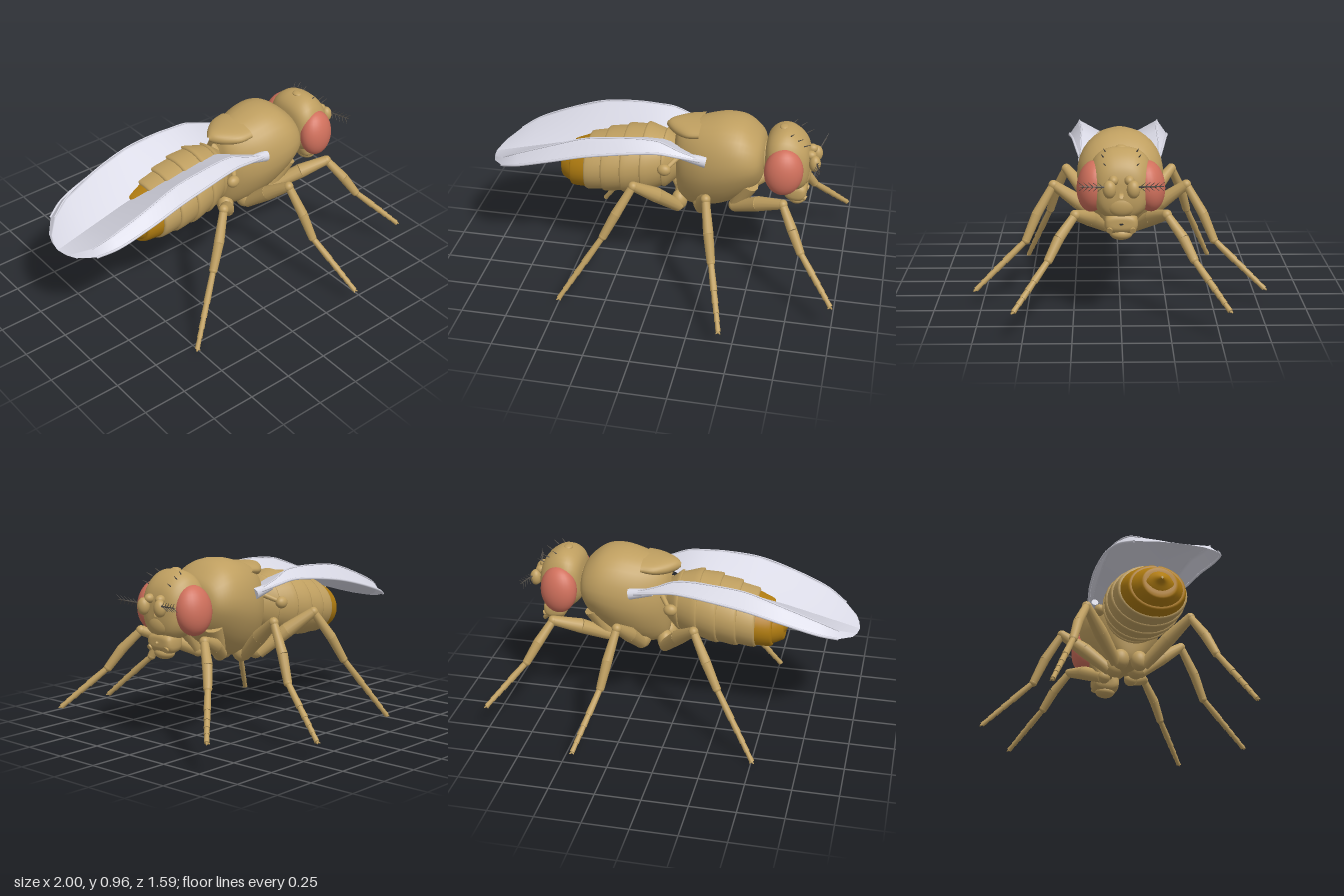
import * as THREE from 'three';

const mat = (color, side = THREE.FrontSide) => new THREE.MeshStandardMaterial({ color, side });
const TAN = mat(0xbf9f60), GOLD = mat(0xb07c10), EYE = mat(0xd0705c), DARK = mat(0x55504a);
const WING = mat(0xd8d8e4, THREE.DoubleSide);
const V = (x, y, z) => new THREE.Vector3(x, y, z);

function add(parent, name, geometry, material) {
  const mesh = new THREE.Mesh(geometry, material);
  mesh.name = name;
  parent.add(mesh);
  return mesh;
}

// Grid of points (rows x cols) to a smooth surface; closed wraps the columns
function surface(rows, closed) {
  const n = rows[0].length, index = [];
  for (let i = 0; i < rows.length - 1; i++) {
    for (let j = 0; j < (closed ? n : n - 1); j++) {
      const a = i * n + j, b = i * n + (j + 1) % n;
      index.push(a, b, a + n, b, b + n, a + n);
    }
  }
  const g = new THREE.BufferGeometry();
  g.setAttribute('position', new THREE.Float32BufferAttribute(rows.flat(2), 3));
  g.setIndex(index);
  g.computeVertexNormals();
  return g;
}

// Body loft along +x; stations are [x, bottom, top, halfWidth]; taper narrows the underside
function loft(stations, { steps = 4, power = 1, taper = 0 } = {}, sides = 32) {
  const curve = f => new THREE.CatmullRomCurve3(stations.map(f), false, 'catmullrom');
  const heights = curve(s => V(s[0], s[1], s[2])), widths = curve(s => V(s[0], s[3], 0));
  const count = (stations.length - 1) * steps, rows = [];
  const bend = v => Math.sign(v) * Math.abs(v) ** power;
  for (let i = 0; i <= count; i++) {
    const h = heights.getPoint(i / count), w = widths.getPoint(i / count).y;
    rows.push(Array.from({ length: sides }, (_, j) => {
      const a = j / sides * Math.PI * 2, up = bend(Math.cos(a));
      const narrow = 1 - taper * Math.max(0, -up);
      return [h.x, (h.y + h.z) / 2 + (h.z - h.y) / 2 * up, w * bend(Math.sin(a)) * narrow];
    }));
  }
  return surface(rows, true);
}

function ellipsoid(parent, name, pos, radii, material = TAN) {
  const m = add(parent, name, new THREE.SphereGeometry(1, 28, 18), material);
  m.position.set(...pos);
  m.scale.set(...radii);
  return m;
}

// Tapered limb piece between two points
function limb(parent, name, a, b, r0, r1, material = TAN, sides = 12) {
  const d = b.clone().sub(a);
  const m = add(parent, name, new THREE.CylinderGeometry(r1, r0, d.length(), sides), material);
  m.position.copy(a).addScaledVector(d, 0.5);
  m.quaternion.setFromUnitVectors(V(0, 1, 0), d.normalize());
  return m;
}

function makeLeg(name, points, s) {
  const leg = new THREE.Group();
  leg.name = name;
  const [hip, knee, ankle, toe] = points.map(p => V(p[0], p[1], p[2] * s));
  // Thick femur, swelling and bowed at the middle
  const mid = hip.clone().lerp(knee, 0.5).add(V(0, 0.012, 0.006 * s));
  limb(leg, 'femurBase', hip, mid, 0.034, 0.042);
  limb(leg, 'femurEnd', mid, knee, 0.042, 0.027);
  ellipsoid(leg, 'knee', knee.toArray(), [0.027, 0.027, 0.027]);
  // Shin, slightly bowed outward
  const shin = knee.clone().lerp(ankle, 0.55).add(V(0, 0.008, 0.008 * s));
  limb(leg, 'tibiaTop', knee, shin, 0.022, 0.028);
  limb(leg, 'tibiaEnd', shin, ankle, 0.028, 0.023);
  ellipsoid(leg, 'ankle', ankle.toArray(), [0.023, 0.023, 0.023]);
  // Five jointed foot segments, the first one long
  const cuts = [0, 0.42, 0.6, 0.74, 0.86, 1];
  for (let i = 0; i < 5; i++) {
    const r = 0.019 - i * 0.0012;
    limb(leg, 'tarsus' + (i + 1), ankle.clone().lerp(toe, cuts[i]), ankle.clone().lerp(toe, cuts[i + 1]), r * 0.85, r);
  }
  for (const k of [-1, 1]) {
    limb(leg, 'claw', toe, toe.clone().add(V(0.012 * k, -0.006, 0.012 * s)), 0.008, 0.003, TAN, 5);
  }
  return leg;
}

function makeWing(s) {
  const wing = new THREE.Group();
  wing.name = 'wing';
  // Stations: x, inner z, outer z, inner y, outer y before folding
  const st = [[0.22, 0.16, 0.22, 0.785, 0.8], [0.1, 0.11, 0.24, 0.8, 0.85], [0, 0.03, 0.255, 0.805, 0.9],
    [-0.1, 0, 0.265, 0.795, 0.912], [-0.2, 0, 0.275, 0.78, 0.915], [-0.4, 0, 0.285, 0.742, 0.9],
    [-0.6, 0, 0.29, 0.7, 0.83], [-0.8, 0, 0.268, 0.65, 0.742], [-0.9, 0, 0.22, 0.625, 0.675],
    [-0.97, 0, 0.13, 0.607, 0.625], [-0.99, 0, 0.07, 0.602, 0.607], [-1, 0, 0.005, 0.6, 0.6]];
  // The outer band folds down beyond the crest
  const crest = 0.8;
  const at = ([x, z0, z1, y0, y1], t) => {
    const drop = Math.max(0, t - crest) / (1 - crest) * 0.72;
    return [x, y0 + (y1 - y0) * (t - drop), s * (z0 + (z1 - z0) * t)];
  };
  const cols = Array.from({ length: 26 }, (_, j) => j / 25);
  add(wing, 'membrane', surface(st.map(r => cols.map(t => at(r, t))), false), WING);
  // Front edge vein and crest vein
  for (const [t, r] of [[1, 0.007], [crest, 0.004]]) {
    const path = new THREE.CatmullRomCurve3(st.slice(0, 9).map(row => V(...at(row, t))));
    add(wing, 'vein', new THREE.TubeGeometry(path, 50, r, 6), WING);
  }
  limb(wing, 'wingRoot', V(0.25, 0.775, 0.195 * s), V(0.12, 0.8, 0.2 * s), 0.032, 0.02, WING);
  return wing;
}

export function createModel() {
  const fly = new THREE.Group();
  fly.name = 'fly';

  // Thorax, rear shield and neck
  add(fly, 'thorax', loft([[0.05, 0.58, 0.83, 0.05], [0.075, 0.45, 0.88, 0.11], [0.13, 0.41, 0.915, 0.16],
    [0.22, 0.41, 0.945, 0.205], [0.33, 0.44, 0.967, 0.228], [0.43, 0.5, 0.953, 0.225],
    [0.51, 0.57, 0.895, 0.19], [0.545, 0.64, 0.84, 0.13], [0.555, 0.72, 0.76, 0.01]],
  { power: 0.88, taper: 0.28 }), TAN);
  add(fly, 'scutellum', loft([[0, 0.875, 0.895, 0.008], [0.025, 0.855, 0.915, 0.045], [0.07, 0.84, 0.925, 0.09],
    [0.13, 0.84, 0.93, 0.13], [0.2, 0.85, 0.935, 0.14]]), TAN);
  limb(fly, 'neck', V(0.5, 0.74, 0), V(0.6, 0.75, 0), 0.09, 0.08);

  // Overlapping abdomen rings: x, bottom, top, half width
  const rings = [[0.07, 0.56, 0.79, 0.1], [0, 0.51, 0.835, 0.16], [-0.11, 0.475, 0.852, 0.2],
    [-0.22, 0.46, 0.832, 0.21], [-0.33, 0.455, 0.802, 0.205], [-0.43, 0.455, 0.767, 0.19],
    [-0.52, 0.465, 0.722, 0.155], [-0.58, 0.5, 0.68, 0.1]];
  for (let i = 0; i < rings.length - 1; i++) {
    const [x0, b0, t0, w0] = rings[i], [x1, b1, t1, w1] = rings[i + 1], e = 0.006;
    add(fly, 'abdomenRing' + (i + 1), loft([[x1 - 0.012, b1 + 0.05, t1 - 0.05, w1 * 0.75],
      [x1 - 0.012, b1 + e, t1 - e, w1 - e], [x1, b1 - e, t1 + e, w1 + e],
      [(x0 + x1) / 2, (b0 + b1) / 2, (t0 + t1) / 2, (w0 + w1) / 2 + 0.003], [x0, b0 + e, t0 - e, w0 - e]],
    { steps: 2 }), i > 4 ? GOLD : TAN);
  }
  add(fly, 'abdomenTip', loft([[-0.635, 0.592, 0.606, 0.006], [-0.61, 0.57, 0.635, 0.04],
    [-0.585, 0.53, 0.66, 0.075], [-0.55, 0.5, 0.68, 0.1]]), GOLD);

  // Head capsule, face and mouthparts
  add(fly, 'head', loft([[0.55, 0.72, 0.8, 0.02], [0.565, 0.65, 0.88, 0.12], [0.61, 0.6, 0.925, 0.16],
    [0.67, 0.575, 0.938, 0.16], [0.73, 0.575, 0.91, 0.145], [0.775, 0.6, 0.86, 0.115],
    [0.795, 0.65, 0.8, 0.07], [0.8, 0.7, 0.74, 0.01]], { power: 0.8 }), TAN);
  ellipsoid(fly, 'faceRidge', [0.77, 0.66, 0], [0.035, 0.06, 0.075]);
  add(fly, 'proboscisBase', loft([[0.66, 0.56, 0.6, 0.03], [0.68, 0.51, 0.62, 0.075], [0.75, 0.5, 0.62, 0.085],
    [0.785, 0.53, 0.6, 0.07], [0.79, 0.56, 0.57, 0.01]], { power: 0.7 }), TAN);
  ellipsoid(fly, 'proboscisTip', [0.735, 0.505, 0], [0.05, 0.035, 0.06]);
  ellipsoid(fly, 'simpleEyes', [0.645, 0.933, 0], [0.025, 0.012, 0.03]);

  for (const s of [1, -1]) {
    ellipsoid(fly, 'eye', [0.667, 0.735, 0.145 * s], [0.106, 0.133, 0.08], EYE).rotation.set(-0.12 * s, 0.2 * s, 0);

    // Antenna with feathered bristle
    const antenna = new THREE.Group();
    antenna.name = 'antenna';
    fly.add(antenna);
    ellipsoid(antenna, 'antennaBase', [0.8, 0.795, 0.04 * s], [0.03, 0.025, 0.025]);
    ellipsoid(antenna, 'antennaLobe', [0.825, 0.755, 0.06 * s], [0.032, 0.046, 0.034]);
    const a = V(0.835, 0.77, 0.07 * s), b = V(0.865, 0.78, 0.21 * s);
    limb(antenna, 'arista', a, b, 0.005, 0.002, DARK, 5);
    for (let i = 1; i < 6; i++) {
      const p = a.clone().lerp(b, i / 6);
      for (const k of [-1, 1]) {
        limb(antenna, 'aristaHair', p, p.clone().add(V(0.012 * k, 0.025 * k, 0.025 * s)), 0.0025, 0.001, DARK, 4);
      }
    }

    // Short bristles on the crown
    for (const [x, y, z, dx, dy] of [[0.69, 0.92, 0.08, 0.02, 0.02], [0.73, 0.9, 0.09, 0.03, 0.02],
      [0.765, 0.865, 0.08, 0.035, 0.02]]) {
      limb(fly, 'bristle', V(x, y, z * s), V(x + dx, y + dy, (z + 0.01) * s), 0.004, 0.001, DARK, 4);
    }
    limb(fly, 'palp', V(0.74, 0.55, 0.05 * s), V(0.79, 0.53, 0.06 * s), 0.012, 0.016);

    // Hip joints under the thorax
    limb(fly, 'frontHip', V(0.48, 0.62, 0.11 * s), V(0.4, 0.455, 0.08 * s), 0.055, 0.035);
    ellipsoid(fly, 'frontHipJoint', [0.4, 0.455, 0.08 * s], [0.037, 0.037, 0.037]);
    ellipsoid(fly, 'middleHip', [0.21, 0.445, 0.065 * s], [0.05, 0.065, 0.055]);
    ellipsoid(fly, 'hindHip', [0.08, 0.435, 0.055 * s], [0.045, 0.06, 0.05]);

    // Legs
    fly.add(makeLeg('frontLeg', [[0.4, 0.455, 0.09], [0.68, 0.585, 0.235], [0.8, 0.38, 0.37], [0.99, 0.17, 0.54]], s));
    fly.add(makeLeg('middleLeg', [[0.21, 0.42, 0.09], [0.28, 0.645, 0.36], [0.34, 0.35, 0.51], [0.43, 0.1, 0.78]], s));
    fly.add(makeLeg('hindLeg', [[0.08, 0.41, 0.08], [-0.13, 0.64, 0.3], [-0.28, 0.36, 0.4], [-0.505, 0.015, 0.545]], s));

    // Balancing knob behind the wing
    limb(fly, 'haltereStalk', V(0.08, 0.74, 0.12 * s), V(0.03, 0.705, 0.19 * s), 0.015, 0.012);
    ellipsoid(fly, 'haltere', [0.02, 0.7, 0.195 * s], [0.038, 0.033, 0.03]);

    fly.add(makeWing(s));
  }
  return fly;
}
